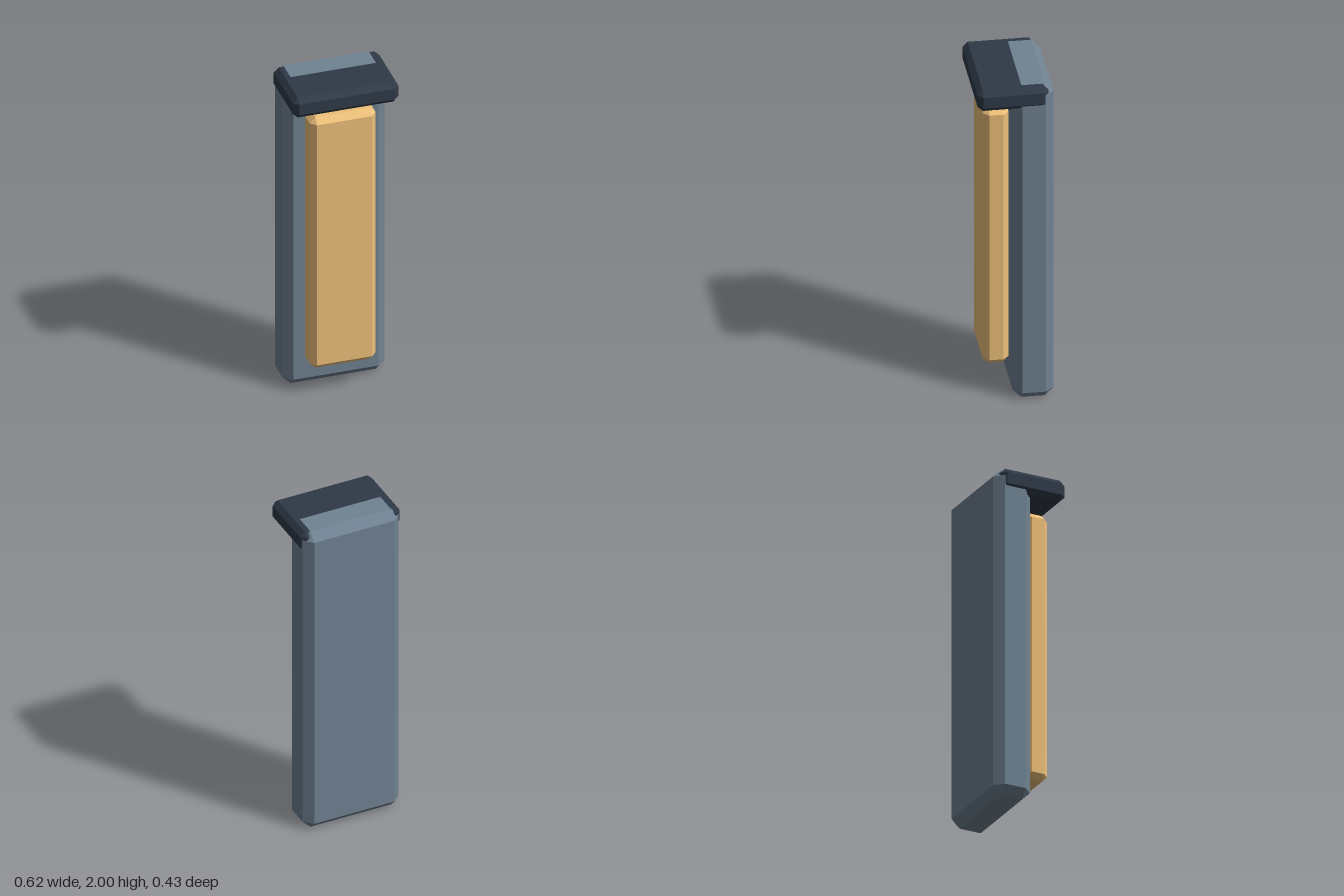
import * as THREE from 'three';
import { ConvexGeometry } from 'three/addons/geometries/ConvexGeometry.js';

// Box with every edge chamfered by c and a triangular facet on each corner
function chamferedBox(name, [x0, x1], [y0, y1], [z0, z1], c, color) {
  const half = new THREE.Vector3(x1 - x0, y1 - y0, z1 - z0).multiplyScalar(0.5);
  const points = [];
  for (const sx of [-1, 1]) for (const sy of [-1, 1]) for (const sz of [-1, 1]) {
    for (const axis of ['x', 'y', 'z']) {
      const p = half.clone().subScalar(c);
      p[axis] = half[axis];
      points.push(p.multiply(new THREE.Vector3(sx, sy, sz)));
    }
  }
  const mesh = new THREE.Mesh(
    new ConvexGeometry(points),
    new THREE.MeshStandardMaterial({ color, flatShading: true })
  );
  mesh.name = name;
  mesh.position.set((x0 + x1) / 2, (y0 + y1) / 2, (z0 + z1) / 2);
  return mesh;
}

export function createModel() {
  const model = new THREE.Group();
  model.name = 'cappedPanel';
  model.add(
    // tall slab at the back
    chamferedBox('body', [-0.3, 0.3], [0, 2], [-0.217, 0.015], 0.05, 0x708292),
    // overhanging cap, a hair below the slab's top face
    chamferedBox('cap', [-0.31, 0.31], [1.87, 1.9995], [-0.185, 0.217], 0.03, 0x2f3a48),
    // raised plate standing just clear of the slab
    chamferedBox('frontPanel', [-0.194, 0.194], [0.183, 1.82], [0.024, 0.17], 0.034, 0xeec07a)
  );
  return model;
}
